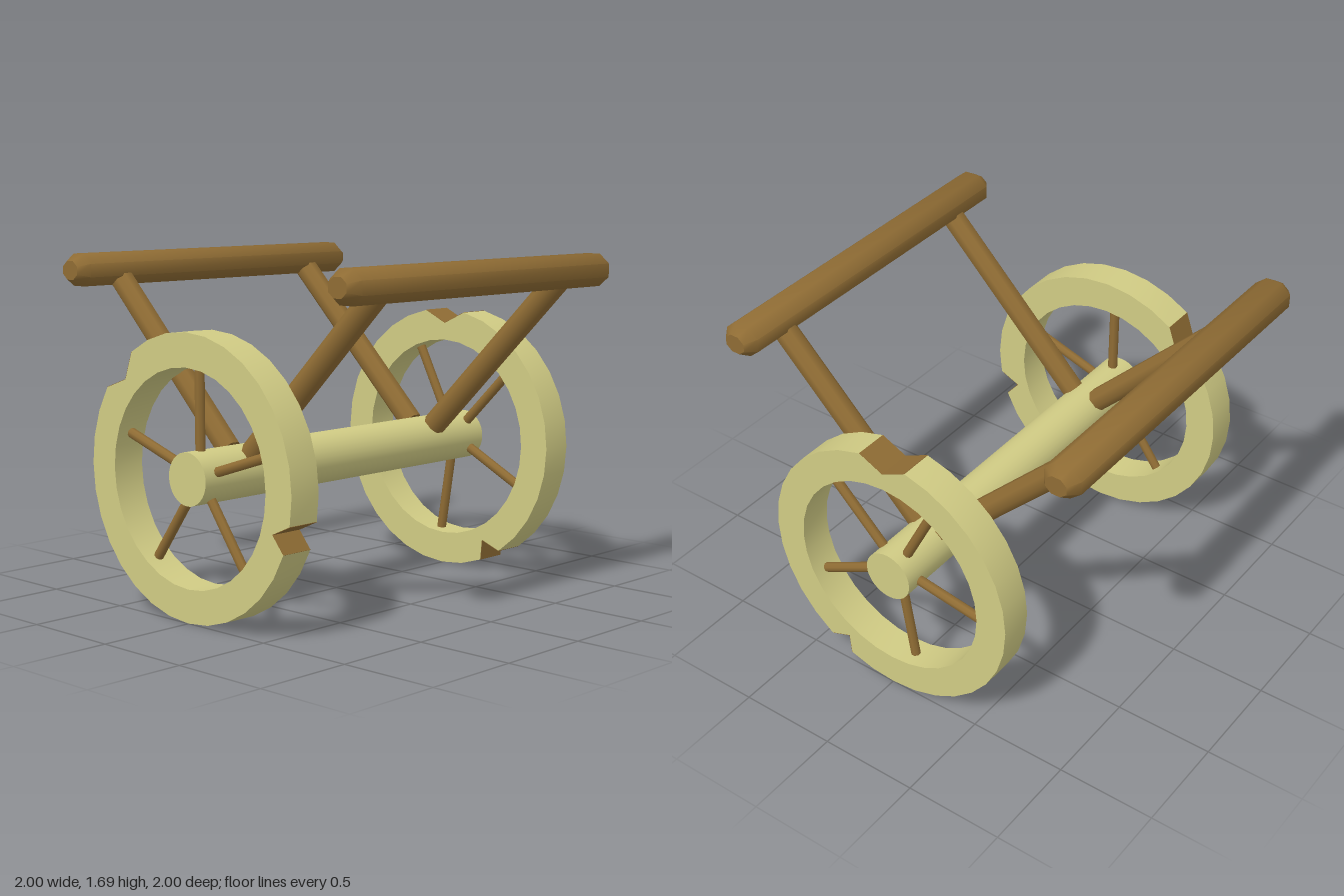
import * as THREE from 'three';
import { toCreasedNormals } from 'three/addons/utils/BufferGeometryUtils.js';

const pale = new THREE.MeshStandardMaterial({ color: 0xd0cb84 });
pale.name = 'pale wood';
const brown = new THREE.MeshStandardMaterial({ color: 0x8f6c34 });
brown.name = 'brown wood';

const AXLE_Y = 0.6825, RIM = 0.6825, INNER = 0.52, WIDTH = 0.17;
const rad = THREE.MathUtils.degToRad;
const polar = (r, deg) => new THREE.Vector2(r * Math.cos(rad(deg)), r * Math.sin(rad(deg)));

function add(parent, name, geometry, material) {
  const mesh = new THREE.Mesh(geometry, material);
  mesh.name = name;
  parent.add(mesh);
  return mesh;
}

// Octagonal rod between two points, one flat facing along z
function rod(parent, name, a, b, apothem) {
  const dir = b.clone().sub(a);
  const geo = new THREE.CylinderGeometry(apothem / Math.cos(Math.PI / 8), apothem / Math.cos(Math.PI / 8), dir.length(), 8);
  geo.rotateY(Math.PI / 8);
  const mesh = add(parent, name, geo, brown);
  mesh.position.copy(a).add(b).multiplyScalar(0.5);
  mesh.quaternion.setFromUnitVectors(new THREE.Vector3(0, 1, 0), dir.normalize());
}

// Rim with two chipped notches and five spokes
function wheel(name) {
  const group = new THREE.Group();
  group.name = name;
  const notches = [
    [polar(RIM, 124), polar(0.608, 135), polar(RIM, 146)],
    [polar(RIM, 337.3), polar(0.588, 342.2), polar(RIM, 349)],
  ];
  const points = [];
  const arc = (from, to) => {
    const n = Math.round((to - from) / 11.25);
    for (let i = 0; i <= n; i++) points.push(polar(RIM, from + (to - from) * i / n));
  };
  arc(-11, 124);
  points.push(notches[0][1]);
  arc(146, 337.3);
  points.push(notches[1][1]);

  const shape = new THREE.Shape(points);
  const hole = [];
  for (let i = 0; i < 32; i++) hole.push(polar(INNER, -i * 11.25));
  shape.holes.push(new THREE.Path(hole));
  const geo = new THREE.ExtrudeGeometry(shape, { depth: WIDTH, bevelEnabled: false });
  geo.translate(0, 0, -WIDTH / 2);
  add(group, 'rim', toCreasedNormals(geo, 0.4), pale);

  // Bare wood on the notch walls
  for (const notch of notches) {
    for (let i = 0; i < 2; i++) {
      const a = notch[i], d = notch[i + 1].clone().sub(a);
      const wall = add(group, 'notchWall', new THREE.BoxGeometry(d.length(), 0.004, WIDTH - 0.001), brown);
      wall.position.set(a.x + d.x / 2, a.y + d.y / 2, 0);
      wall.rotation.z = Math.atan2(d.y, d.x);
    }
  }

  for (let i = 0; i < 5; i++) {
    const a = polar(0.09, 90 + i * 72), b = polar(0.53, 90 + i * 72);
    rod(group, 'spoke', new THREE.Vector3(a.x, a.y, 0), new THREE.Vector3(b.x, b.y, 0), 0.023);
  }
  return group;
}

export function createModel() {
  const model = new THREE.Group();
  model.name = 'cart';

  // Axle with hub ends
  const axle = add(model, 'axle', new THREE.CylinderGeometry(0.127, 0.127, 1.998, 32), pale);
  axle.rotation.x = Math.PI / 2;
  axle.position.y = AXLE_Y;

  // Wheels, the rear one turned
  for (const side of [1, -1]) {
    const w = wheel(side > 0 ? 'frontWheel' : 'rearWheel');
    w.position.set(0, AXLE_Y, side * (1 - WIDTH / 2));
    if (side < 0) w.rotation.z = -Math.PI / 4;
    model.add(w);
  }

  // Chamfered octagonal rails on slanted poles
  const c = 1 / Math.cos(Math.PI / 8);
  const profile = [[0, -0.945], [0.055, -0.945], [0.095, -0.89], [0.095, 0.89], [0.055, 0.945], [0, 0.945]]
    .map(([r, y]) => new THREE.Vector2(r * c, y));
  const railGeo = new THREE.LatheGeometry(profile, 8, Math.PI / 8);
  railGeo.rotateX(Math.PI / 2);
  railGeo.scale(1, 0.84, 1);
  const creased = toCreasedNormals(railGeo, 0.9);
  for (const side of [1, -1]) {
    const rail = add(model, side > 0 ? 'leftRail' : 'rightRail', creased, brown);
    rail.position.set(side * 0.905, 1.607, 0);
    for (const z of [0.657, -0.657]) {
      rod(model, 'pole', new THREE.Vector3(side * 0.08, 0.774, z), new THREE.Vector3(side * 0.9, 1.598, z), 0.056);
    }
  }
  return model;
}
